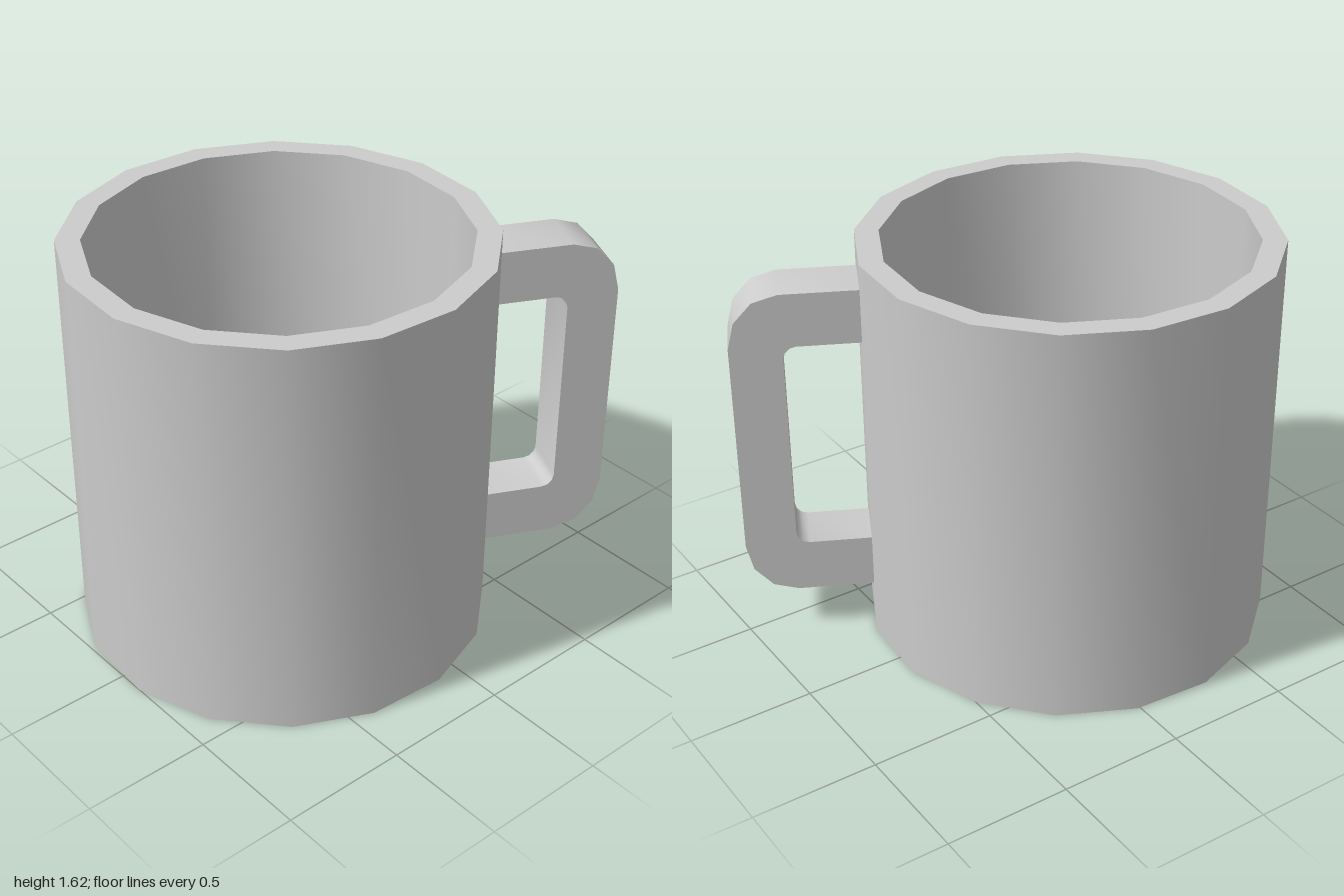
import * as THREE from 'three';
import { toCreasedNormals } from 'three/addons/utils/BufferGeometryUtils.js';

const SIDES = 16;
const CREASE = 0.6;

// Points along a quarter ellipse from angle a0 to a1, in three facets
function corner(cx, cy, rx, ry, a0, a1) {
  const pts = [];
  for (let i = 0; i <= 3; i++) {
    const a = a0 + ((a1 - a0) * i) / 3;
    pts.push(new THREE.Vector2(cx + rx * Math.cos(a), cy + ry * Math.sin(a)));
  }
  return pts;
}

export function createModel() {
  const mug = new THREE.Group();
  mug.name = 'mug';
  const material = new THREE.MeshStandardMaterial({ color: 0xcccccc });

  // Hollow cup: bottom, outer wall, rim, inner wall, floor
  const R = 0.807, r = 0.714, H = 1.62, floor = 0.1;
  const profile = [[0, 0], [R, 0], [R, H], [r, H], [r, floor], [0, floor]]
    .map(([x, y]) => new THREE.Vector2(x, y));
  const cup = new THREE.Mesh(
    toCreasedNormals(new THREE.LatheGeometry(profile, SIDES, Math.PI / SIDES), CREASE),
    material
  );
  cup.name = 'cup';
  mug.add(cup);

  // C-shaped handle, square to one facet of the cup
  const start = 0.79, end = 1.285, bottom = 0.197, top = 1.497;
  const rx = 0.195, ry = 0.215, fillet = 0.05;
  const innerEnd = 1.085, innerBottom = 0.413, innerTop = 1.281;
  const q = Math.PI / 2;
  const outline = [
    new THREE.Vector2(start, bottom),
    ...corner(end - rx, bottom + ry, rx, ry, -q, 0),
    ...corner(end - rx, top - ry, rx, ry, 0, q),
    new THREE.Vector2(start, top),
    new THREE.Vector2(start, innerTop),
    ...corner(innerEnd - fillet, innerTop - fillet, fillet, fillet, q, 0),
    ...corner(innerEnd - fillet, innerBottom + fillet, fillet, fillet, 0, -q),
    new THREE.Vector2(start, innerBottom),
  ];
  const width = 0.215;
  const handleGeometry = new THREE.ExtrudeGeometry(new THREE.Shape(outline), {
    depth: width,
    bevelEnabled: false,
  });
  handleGeometry.translate(0, 0, -width / 2);
  const handle = new THREE.Mesh(toCreasedNormals(handleGeometry, CREASE), material);
  handle.name = 'handle';
  mug.add(handle);

  // Turn the handle towards the front left
  mug.rotation.y = -THREE.MathUtils.degToRad(26.4);
  mug.position.x = -0.2;

  const model = new THREE.Group();
  model.name = 'model';
  model.add(mug);
  return model;
}
